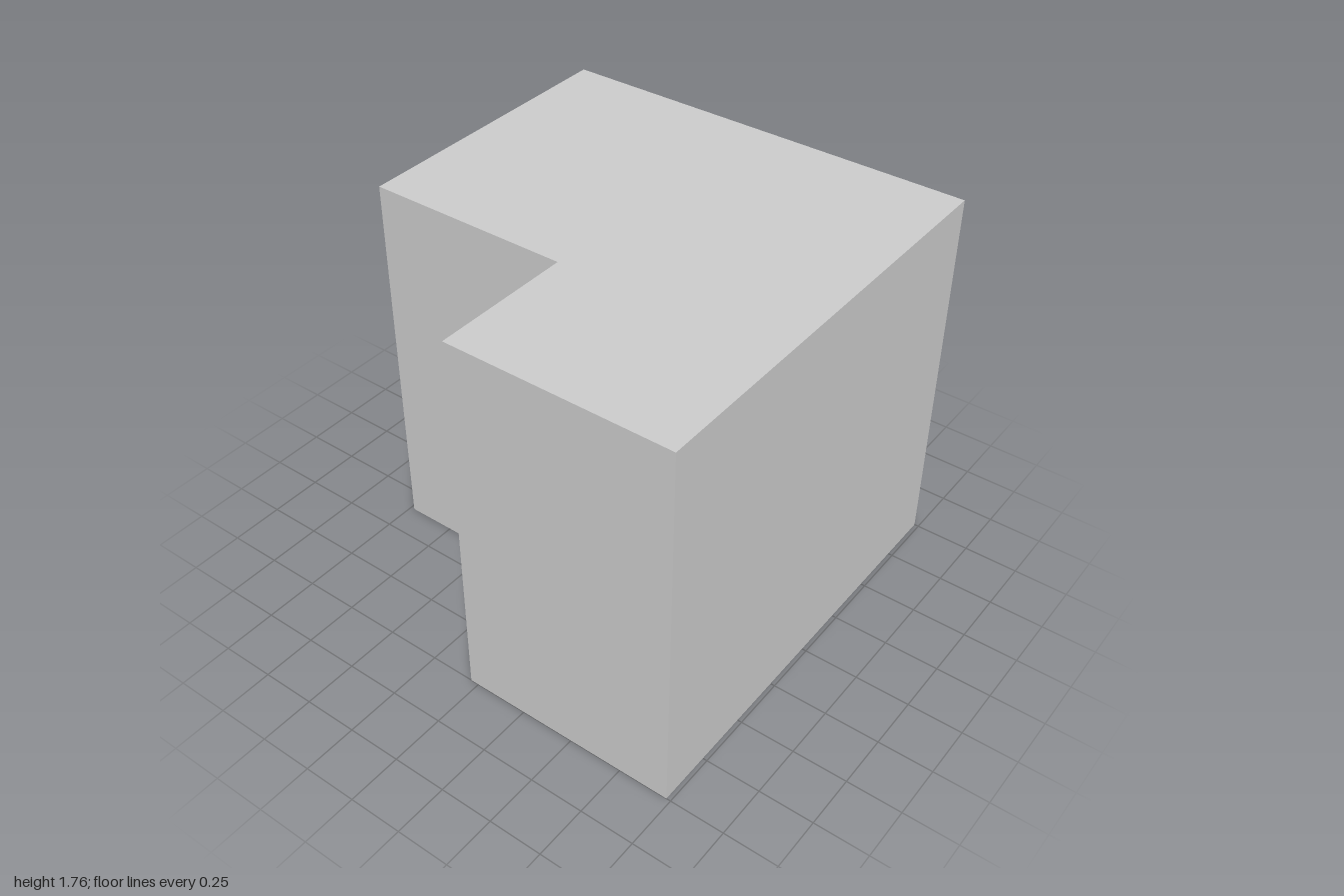
import * as THREE from 'three';

// Plan outline as [x, z], with a notch cut from the back right corner
const OUTLINE = [[-1, 0.98], [1, 0.98], [1, -0.98], [-0.35, -0.98], [-0.35, -0.04], [-1, -0.04]];
const HEIGHT = 1.765;

export function createModel() {
  const group = new THREE.Group();
  group.name = 'notchedBlock';

  // Extrude the plan, then stand it upright (shape y becomes -z)
  const shape = new THREE.Shape(OUTLINE.map(([x, z]) => new THREE.Vector2(x, -z)));
  const geometry = new THREE.ExtrudeGeometry(shape, { depth: HEIGHT, bevelEnabled: false });
  geometry.rotateX(-Math.PI / 2);

  const block = new THREE.Mesh(
    geometry,
    new THREE.MeshStandardMaterial({ color: 0xcccccc, flatShading: true })
  );
  block.name = 'block';
  group.add(block);
  return group;
}
